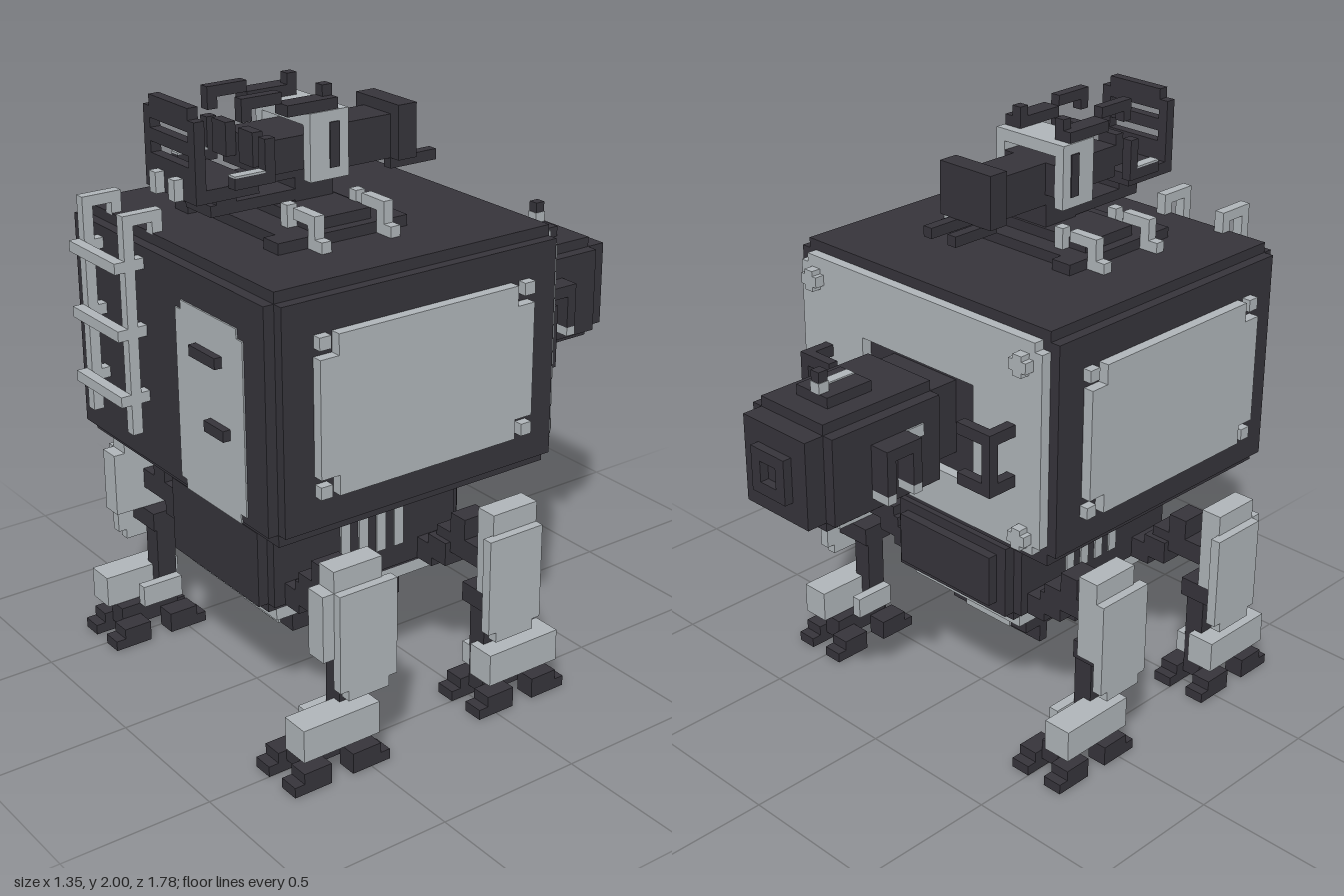
import * as THREE from 'three';

const dark = new THREE.MeshStandardMaterial({ color: 0x36343b });
dark.name = 'charcoal armour';
const light = new THREE.MeshStandardMaterial({ color: 0xb0b6ba });
light.name = 'pale grey metal';

export function createModel() {
  const root = new THREE.Group();
  root.name = 'walkerTank';

  const group = (name, parent = root) => {
    const g = new THREE.Group();
    g.name = name;
    parent.add(g);
    return g;
  };
  // Box given by its min/max on each axis
  const box = (p, name, mat, x0, x1, y0, y1, z0, z1) => {
    const m = new THREE.Mesh(new THREE.BoxGeometry(Math.abs(x1 - x0), y1 - y0, Math.abs(z1 - z0)), mat);
    m.position.set((x0 + x1) / 2, (y0 + y1) / 2, (z0 + z1) / 2);
    m.name = name;
    p.add(m);
  };
  const pair = (p, name, mat, x0, x1, ...r) => {
    for (const s of [1, -1]) box(p, name, mat, s * x0, s * x1, ...r);
  };
  // Flat plate with small square notches in its corners, optionally pierced
  const plate = (p, name, mat, w, h, d, n, hole) => {
    const a = w / 2, b = h / 2;
    const s = new THREE.Shape([[-a + n, -b], [a - n, -b], [a - n, -b + n], [a, -b + n], [a, b - n], [a - n, b - n],
      [a - n, b], [-a + n, b], [-a + n, b - n], [-a, b - n], [-a, -b + n], [-a + n, -b + n]]
      .map(q => new THREE.Vector2(...q)));
    if (hole) {
      const [x0, x1, y0, y1] = hole;
      s.holes.push(new THREE.Path([[x0, y0], [x0, y1], [x1, y1], [x1, y0]].map(q => new THREE.Vector2(...q))));
    }
    const m = new THREE.Mesh(new THREE.ExtrudeGeometry(s, { depth: d, bevelEnabled: false }), mat);
    m.name = name;
    p.add(m);
    return m;
  };

  // Hull with stepped edges
  const hull = group('hull');
  box(hull, 'hullCore', dark, -0.57, 0.57, 0.83, 1.54, -0.25, 0.755);
  box(hull, 'hullTall', dark, -0.535, 0.535, 0.79, 1.575, -0.25, 0.755);
  box(hull, 'hullFront', dark, -0.535, 0.535, 0.83, 1.54, 0.75, 0.79);
  plate(hull, 'rearPlate', light, 1.07, 0.71, 0.036, 0.03, [-0.25, 0.25, -0.21, 0.135]).position.set(0, 1.185, -0.286);
  for (const x of [0.465, -0.465]) for (const y of [0.885, 1.465]) {
    box(hull, 'rearBolt', light, x - 0.035, x + 0.035, y - 0.018, y + 0.018, -0.32, -0.28);
    box(hull, 'rearBolt', light, x - 0.018, x + 0.018, y - 0.035, y + 0.035, -0.32, -0.28);
  }

  // Side armour with bolts in the notches
  for (const s of [1, -1]) {
    const p = plate(hull, 'sidePanel', light, 0.79, 0.5, 0.036, 0.065);
    p.rotation.y = s * Math.PI / 2;
    p.position.set(s * 0.569, 1.185, 0.255);
    for (const z of [-0.125, 0.628]) for (const y of [0.955, 1.415]) {
      box(hull, 'sideBolt', light, s * 0.57, s * 0.6, y - 0.02, y + 0.02, z - 0.02, z + 0.02);
    }
  }

  // Front door
  const door = group('door');
  plate(door, 'doorPanel', light, 0.36, 0.61, 0.006, 0.03).position.set(0.25, 1.13, 0.789);
  box(door, 'doorUpperHandle', dark, 0.18, 0.32, 1.29, 1.325, 0.79, 0.82);
  box(door, 'doorLowerHandle', dark, 0.25, 0.355, 1.075, 1.11, 0.79, 0.82);

  // Ladder
  const ladder = group('ladder');
  for (const x of [-0.39, -0.145]) {
    box(ladder, 'ladderRail', light, x, x + 0.035, 0.94, 1.645, 0.82, 0.855);
    box(ladder, 'ladderHook', light, x, x + 0.035, 1.61, 1.645, 0.72, 0.82);
    box(ladder, 'ladderHook', light, x, x + 0.035, 1.57, 1.61, 0.72, 0.755);
  }
  for (const y of [1.04, 1.255, 1.47]) {
    box(ladder, 'ladderRung', light, -0.39, -0.11, y, y + 0.035, 0.855, 0.89);
    for (const x of [-0.39, -0.145]) box(ladder, 'ladderMount', light, x, x + 0.035, y, y + 0.035, 0.78, 0.86);
  }

  // Rear cannon
  const cannon = group('rearCannon');
  box(cannon, 'cannonMount', dark, -0.14, 0.14, 1.04, 1.29, -0.37, -0.24);
  box(cannon, 'cannonBody', dark, -0.18, 0.18, 1.0, 1.29, -0.79, -0.36);
  box(cannon, 'cannonCore', dark, -0.14, 0.14, 0.97, 1.325, -0.79, -0.36);
  box(cannon, 'cannonNose', dark, -0.14, 0.14, 1.0, 1.29, -0.86, -0.78);
  box(cannon, 'cannonTopPlate', dark, -0.07, 0.07, 1.32, 1.36, -0.71, -0.535);
  box(cannon, 'cannonTopSlot', light, 0, 0.035, 1.36, 1.365, -0.68, -0.54);
  box(cannon, 'cannonBottomPlate', dark, -0.07, 0.07, 0.94, 0.98, -0.75, -0.57);
  // muzzle frame
  pair(cannon, 'muzzleSide', dark, 0.035, 0.075, 1.07, 1.22, -0.89, -0.85);
  for (const y of [1.07, 1.18]) box(cannon, 'muzzleBar', dark, -0.04, 0.04, y, y + 0.04, -0.89, -0.85);
  box(cannon, 'antenna', dark, -0.035, 0, 1.32, 1.43, -0.71, -0.675);
  box(cannon, 'antennaBand', light, -0.037, 0.002, 1.36, 1.395, -0.712, -0.673);
  pair(cannon, 'cannonGripTop', dark, 0.18, 0.25, 1.18, 1.22, -0.64, -0.5);
  for (const z of [-0.535, -0.64]) {
    pair(cannon, 'cannonGrip', dark, 0.18, 0.25, 1.07, 1.18, z, z + 0.035);
    pair(cannon, 'cannonGripTip', light, 0.18, 0.25, 1.04, 1.07, z, z + 0.035);
  }
  pair(cannon, 'cannonSideSlot', light, 0.18, 0.186, 1.18, 1.22, -0.5, -0.43);
  // C-shaped brackets beside the cannon
  pair(cannon, 'bracketPost', dark, 0.395, 0.43, 1.04, 1.25, -0.395, -0.36);
  for (const y of [1.04, 1.21]) {
    pair(cannon, 'bracketArm', dark, 0.29, 0.43, y, y + 0.04, -0.395, -0.36);
    pair(cannon, 'bracketStub', dark, 0.395, 0.43, y, y + 0.04, -0.37, -0.28);
  }

  // Roof base and handrails
  const roof = group('turretBase');
  pair(roof, 'basePad', dark, 0.21, 0.285, 1.57, 1.61, 0.1, 0.57);
  box(roof, 'baseDisc', dark, -0.21, 0.21, 1.57, 1.61, 0.14, 0.53);
  box(roof, 'baseStep', dark, -0.25, 0.25, 1.6, 1.645, 0.21, 0.43);
  box(roof, 'turretNeck', dark, -0.07, 0.07, 1.6, 1.73, 0.22, 0.36);
  for (const z of [0.18, 0.43]) {
    pair(roof, 'railFoot', light, 0.32, 0.355, 1.57, 1.61, z, z + 0.035);
    pair(roof, 'railPost', light, 0.285, 0.32, 1.57, 1.68, z, z + 0.035);
    pair(roof, 'railTop', light, 0.21, 0.32, 1.645, 1.68, z, z + 0.035);
    pair(roof, 'railInner', light, 0.145, 0.18, 1.57, 1.68, z - 0.0, z + 0.035);
  }

  // Roof gun in a pale cradle, pointing backward
  const gun = group('roofGun');
  pair(gun, 'cradleSide', light, 0.11, 0.145, 1.72, 1.93, 0.215, 0.355);
  box(gun, 'cradleTop', light, -0.12, 0.12, 1.89, 1.93, 0.215, 0.355);
  pair(gun, 'cradleSlot', dark, 0.145, 0.149, 1.755, 1.895, 0.25, 0.285);
  box(gun, 'gunBody', dark, -0.07, 0.07, 1.72, 1.86, 0, 0.43);
  box(gun, 'gunBreech', dark, -0.11, 0.11, 1.755, 1.86, 0.215, 0.5);
  box(gun, 'gunMuzzle', dark, -0.11, 0.11, 1.72, 1.895, -0.07, 0);
  pair(gun, 'gunProng', dark, 0.035, 0.07, 1.685, 1.72, -0.18, 0);
  pair(gun, 'gunControl', dark, 0.035, 0.11, 1.79, 1.895, 0.5, 0.535);
  pair(gun, 'sightArm', dark, 0.075, 0.14, 1.93, 1.965, 0.25, 0.43);
  pair(gun, 'sightFront', dark, 0.075, 0.11, 1.965, 2.0, 0.25, 0.285);
  pair(gun, 'sightBar', dark, 0.075, 0.11, 1.965, 2.0, 0.43, 0.57);
  pair(gun, 'sightTip', dark, 0.075, 0.11, 1.93, 1.97, 0.535, 0.57);

  // Gunner seat with slotted back
  const seat = group('seat');
  box(seat, 'seatSupport', dark, -0.07, 0.07, 1.65, 1.685, 0.34, 0.66);
  box(seat, 'seatColumn', dark, -0.07, 0.07, 1.68, 1.73, 0.57, 0.64);
  box(seat, 'seatCushion', dark, -0.14, 0.14, 1.72, 1.76, 0.535, 0.75);
  pair(seat, 'seatBackPost', dark, 0.105, 0.14, 1.75, 1.965, 0.715, 0.75);
  box(seat, 'seatBackTop', dark, -0.107, 0.107, 1.93, 2.0, 0.715, 0.75);
  box(seat, 'seatBackMiddle', dark, -0.107, 0.107, 1.86, 1.9, 0.715, 0.75);
  box(seat, 'seatBackLower', dark, -0.107, 0.107, 1.76, 1.825, 0.715, 0.75);
  pair(seat, 'armrest', dark, 0.14, 0.175, 1.755, 1.79, 0.5, 0.64);
  pair(seat, 'armrestPost', dark, 0.14, 0.175, 1.755, 1.89, 0.5, 0.535);
  pair(seat, 'armrestPad', light, 0.14, 0.175, 1.79, 1.796, 0.535, 0.64);
  pair(seat, 'seatClip', light, 0.035, 0.07, 1.72, 1.785, 0.75, 0.78);

  // Pelvis under the hull
  const pelvis = group('pelvis');
  box(pelvis, 'waist', dark, -0.07, 0.07, 0.7, 0.8, 0.215, 0.36);
  box(pelvis, 'pelvisTall', dark, -0.25, 0.25, 0.4, 0.72, -0.1, 0.61);
  box(pelvis, 'pelvisWide', dark, -0.285, 0.285, 0.43, 0.685, -0.1, 0.61);
  box(pelvis, 'pelvisEnds', dark, -0.25, 0.25, 0.43, 0.685, -0.14, 0.645);
  box(pelvis, 'pelvisRearPanel', dark, -0.21, 0.21, 0.47, 0.65, -0.175, -0.13);
  box(pelvis, 'pelvisSkirt', light, -0.25, 0.25, 0.36, 0.4, -0.07, 0.58);
  for (const z of [0.13, 0.2, 0.27, 0.34]) pair(pelvis, 'sideVent', light, 0.285, 0.291, 0.505, 0.645, z - 0.018, z + 0.018);
  box(pelvis, 'bellyBlock', dark, -0.175, 0.175, 0.25, 0.37, 0.04, 0.47);
  box(pelvis, 'bellyCross', dark, -0.11, 0.11, 0.22, 0.26, 0.07, 0.43);
  box(pelvis, 'bellyLamp', light, -0.105, 0.105, 0.25, 0.325, 0.47, 0.478);
  box(pelvis, 'bellyLampRear', light, -0.105, 0.105, 0.25, 0.325, 0.032, 0.04);
  for (const z of [0.11, 0.29]) pair(pelvis, 'bellyProng', dark, 0.035, 0.175, 0.185, 0.26, z, z + 0.035);
  box(pelvis, 'bellyPlug', light, -0.035, 0.035, 0.22, 0.25, 0.43, 0.45);

  // Four legs, mirrored in x and about the hull centre in z
  for (const s of [1, -1]) for (const t of [1, -1]) {
    const leg = group(`${t > 0 ? 'front' : 'rear'}${s > 0 ? 'Left' : 'Right'}Leg`);
    const b = (name, mat, x0, x1, y0, y1, z0, z1) =>
      box(leg, name, mat, s * x0, s * x1, y0, y1, 0.25 + t * z0, 0.25 + t * z1);
    b('hipRoot', dark, 0.27, 0.36, 0.43, 0.505, 0.2, 0.32);
    b('hipArm', dark, 0.34, 0.43, 0.46, 0.54, 0.2, 0.32);
    b('hipJoint', dark, 0.36, 0.575, 0.505, 0.575, 0.22, 0.32);
    b('hipCap', dark, 0.43, 0.5, 0.57, 0.645, 0.22, 0.32);
    b('thighPlate', light, 0.57, 0.645, 0.43, 0.72, 0.215, 0.39);
    b('thighShell', light, 0.64, 0.675, 0.325, 0.65, 0.18, 0.39);
    b('thighShellTip', light, 0.64, 0.675, 0.29, 0.33, 0.21, 0.36);
    if (t > 0) b('thighFlange', light, 0.57, 0.645, 0.43, 0.65, 0.38, 0.43);
    b('knee', dark, 0.5, 0.64, 0.365, 0.43, 0.215, 0.33);
    b('shin', dark, 0.5, 0.57, 0.07, 0.43, 0.25, 0.32);
    b('ankleGuard', light, 0.54, 0.64, 0.11, 0.22, 0.22, 0.5);
    b('ankleStud', light, 0.465, 0.5, 0.11, 0.185, 0.25, 0.4);
    b('footCore', dark, 0.5, 0.57, 0.035, 0.11, 0.25, 0.47);
    // toes
    for (const x of [0.43, 0.57]) {
      b('toe', dark, x, x + 0.07, 0, 0.07, 0.4, 0.5);
      b('toeTip', dark, x, x + 0.07, 0, 0.035, 0.5, 0.535);
      b('heel', dark, x, x + 0.07, 0, 0.07, 0.215, 0.32);
      b('heelTip', dark, x, x + 0.07, 0, 0.035, 0.18, 0.215);
    }
    b('footBridge', dark, 0.46, 0.61, 0.035, 0.07, 0.25, 0.32);
    b('footBridge', dark, 0.46, 0.61, 0.035, 0.07, 0.4, 0.47);
  }

  return root;
}
